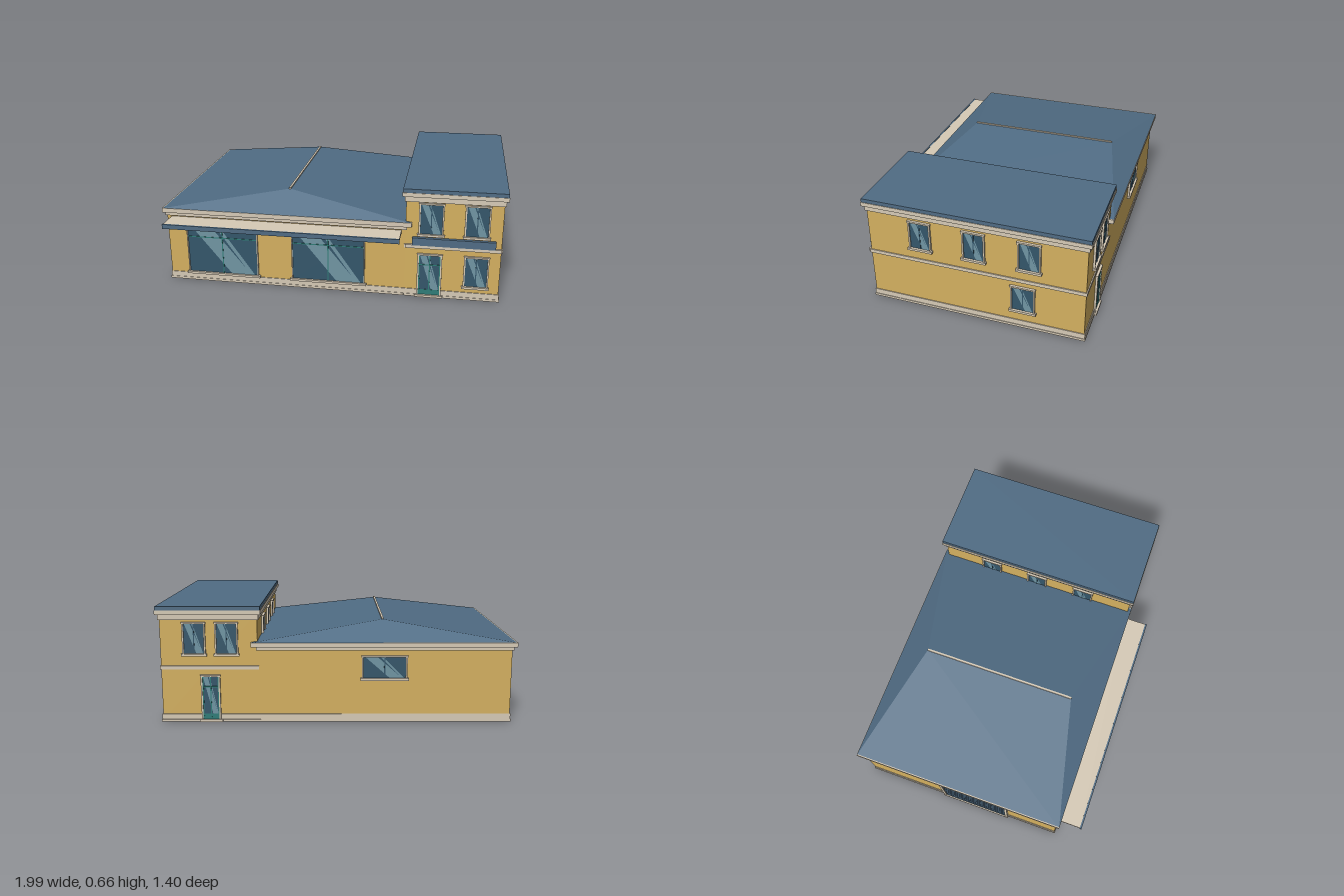
import * as THREE from 'three';
import { ConvexGeometry } from 'three/addons/geometries/ConvexGeometry.js';

const mat = (color) => new THREE.MeshStandardMaterial({ color });

export function createModel() {
  const M = {
    wall: mat(0xd4b060), trim: mat(0xd6cab6), roof: mat(0x506c84),
    glass: mat(0x34566a), shine: mat(0x7095a3), teal: mat(0x2f7d78), door: mat(0x3c5366),
  };
  const model = new THREE.Group();
  model.name = 'building';

  // Box given by its lower and upper limits on each axis
  function box(parent, name, m, x0, x1, y0, y1, z0, z1) {
    const mesh = new THREE.Mesh(new THREE.BoxGeometry(x1 - x0, y1 - y0, z1 - z0), m);
    mesh.position.set((x0 + x1) / 2, (y0 + y1) / 2, (z0 + z1) / 2);
    mesh.name = name;
    parent.add(mesh);
    return mesh;
  }

  const ZF = 0.557, ZB = -0.673, XL = -0.977, XM = 0.435, XR = 0.972;

  // Walls
  box(model, 'hallWalls', M.wall, XL, XM, 0.01, 0.43, ZB, ZF);
  box(model, 'towerWalls', M.wall, XM, XR, 0.01, 0.62, ZB, ZF);

  // Horizontal band that stands proud of a rectangular block by d
  const band = (name, m, x0, x1, y0, y1, d) =>
    box(model, name, m, x0 - d, x1 + d, y0, y1, ZB - d, ZF + d);
  band('hallPlinth', M.trim, XL, XM, 0.012, 0.045, 0.004);
  band('hallBase', M.trim, XL, XM - 0.008, 0, 0.014, 0.007);
  band('towerPlinth', M.trim, XM, XR, 0.012, 0.045, 0.0045);
  band('towerBase', M.trim, XM + 0.008, XR, 0, 0.014, 0.0075);
  band('hallFrieze', M.trim, XL, XM, 0.41, 0.432, 0.008);
  box(model, 'hallEaves', M.trim, -1, 0.47, 0.43, 0.457, -0.7, 0.576);
  band('stringCourse', M.trim, XM, XR, 0.302, 0.323, 0.006);
  band('towerFrieze', M.trim, XM, XR, 0.58, 0.612, 0.008);
  band('towerCornice', M.trim, XM, XR, 0.612, 0.635, 0.021);
  band('towerRoof', M.roof, XM, XR, 0.635, 0.657, 0.018);

  // Hipped roof with ridge cap
  const hip = new THREE.Mesh(new ConvexGeometry([
    [-1, 0.456, -0.7], [0.47, 0.456, -0.7], [-1, 0.456, 0.576], [0.47, 0.456, 0.576],
    [-0.265, 0.56, -0.525], [-0.265, 0.56, 0.4],
  ].map((p) => new THREE.Vector3(...p))), M.roof);
  hip.name = 'hippedRoof';
  model.add(hip);
  box(model, 'ridgeCap', M.trim, -0.271, -0.259, 0.552, 0.566, -0.525, 0.402);

  // Shop canopy
  box(model, 'canopySlab', M.trim, -0.95, 0.413, 0.389, 0.404, ZF, 0.692);
  box(model, 'canopyFascia', M.roof, -0.953, 0.415, 0.379, 0.406, 0.69, 0.701);

  // Blank sign board over its ledge
  box(model, 'signLedge', M.trim, XM, XR, 0.305, 0.325, ZF, 0.572);
  box(model, 'signBoard', M.roof, 0.475, 0.94, 0.325, 0.37, ZF, 0.578);

  // Put a group, built facing +z, on one of the walls
  function place(name, side, along) {
    const g = new THREE.Group();
    g.name = name;
    const [x, z, turn] = {
      front: [along, ZF, 0], back: [along, ZB, Math.PI],
      right: [XR, along, Math.PI / 2], left: [XL, along, -Math.PI / 2],
      inner: [XM, along, -Math.PI / 2],
    }[side];
    g.position.set(x, 0, z);
    g.rotation.y = turn;
    model.add(g);
    return g;
  }

  // Three-sided surround: two jambs and a head
  function surround(g, w, y0, y1, t, d) {
    for (const s of [-1, 1]) {
      const c = s * (w + t) / 2;
      box(g, 'jamb', M.trim, c - t / 2, c + t / 2, y0, y1, 0, d);
    }
    box(g, 'head', M.trim, -w / 2 - t * 1.3, w / 2 + t * 1.3, y1, y1 + t, 0, d + 0.002);
  }

  // Glass pane with two slanted reflections
  function pane(g, w, y0, y1) {
    box(g, 'glass', M.glass, -w / 2, w / 2, y0, y1, 0, 0.005);
    for (const [a, b, slant] of [[0.04, 0.33, 0.58], [0.4, 0.46, 0.5]]) {
      const X = (f) => (f - 0.5) * w;
      const shape = new THREE.Shape([
        new THREE.Vector2(X(a + slant), y0), new THREE.Vector2(X(b + slant), y0),
        new THREE.Vector2(X(b), y1), new THREE.Vector2(X(a), y1),
      ]);
      const mesh = new THREE.Mesh(new THREE.ShapeGeometry(shape), M.shine);
      mesh.position.z = 0.006;
      mesh.name = 'reflection';
      g.add(mesh);
    }
  }

  function win(name, side, along, w, y0, y1, bars = {}) {
    const g = place(name, side, along);
    pane(g, w, y0, y1);
    surround(g, w, y0, y1, bars.t ?? 0.009, 0.012);
    box(g, 'sill', M.trim, -w / 2 - 0.016, w / 2 + 0.016, y0 - 0.013, y0, 0, 0.019);
    const mid = bars.v ? M.teal : M.glass;
    box(g, 'mullion', mid, -0.003, 0.003, y0, y1, 0, 0.008);
    if (bars.h) box(g, 'transom', M.teal, -w / 2, w / 2, bars.h - 0.003, bars.h + 0.003, 0, 0.008);
    return g;
  }

  // Shop windows
  for (const x of [-0.646, -0.01]) win('shopWindow', 'front', x, 0.42, 0.058, 0.358, { v: true, h: 0.283, t: 0.006 });

  // Tower windows
  for (const x of [0.578, 0.832]) win('upperFrontWindow', 'front', x, 0.122, 0.392, 0.567);
  win('lowerFrontWindow', 'front', 0.84, 0.122, 0.086, 0.262);
  for (const z of [0.25, -0.058, -0.365]) {
    win('upperSideWindow', 'right', z, 0.11, 0.394, 0.556);
    win('upperInnerWindow', 'inner', z, 0.11, 0.394, 0.556);
  }
  win('lowerSideWindow', 'right', -0.33, 0.12, 0.118, 0.266);
  for (const x of [0.785, 0.605]) win('upperBackWindow', 'back', x, 0.11, 0.392, 0.56);
  win('hallBackWindow', 'back', -0.27, 0.235, 0.253, 0.372);

  // Glazed doors with a step
  function glazedDoor(name, side, along, w) {
    const g = place(name, side, along);
    pane(g, w, 0.045, 0.262);
    surround(g, w, 0.014, 0.262, 0.009, 0.012);
    box(g, 'kickPanel', M.teal, -w / 2, w / 2, 0.014, 0.048, 0, 0.007);
    box(g, 'transom', M.teal, -w / 2, w / 2, 0.2, 0.206, 0, 0.008);
    for (const x of [-w / 2 + 0.003, 0, w / 2 - 0.003])
      box(g, 'stile', M.teal, x - 0.003, x + 0.003, 0.014, 0.262, 0, 0.0075);
    box(g, 'step', M.trim, -w / 2 - 0.02, w / 2 + 0.02, 0.003, 0.016, 0, 0.02);
  }
  glazedDoor('frontDoor', 'front', 0.578, 0.122);
  glazedDoor('backDoor', 'back', 0.7, 0.09);

  // Slatted garage door on the hall end
  const garage = place('garageDoor', 'left', 0.03);
  surround(garage, 0.4, 0.014, 0.368, 0.016, 0.014);
  box(garage, 'panel', M.glass, -0.2, 0.2, 0.014, 0.368, 0, 0.005);
  const slats = 7, pitch = 0.354 / slats;
  for (let i = 0; i < slats; i++)
    box(garage, 'slat', M.door, -0.198, 0.198, 0.017 + i * pitch, 0.011 + (i + 1) * pitch, 0, 0.01);
  box(garage, 'threshold', M.trim, -0.22, 0.22, 0.002, 0.016, 0, 0.018);

  return model;
}
